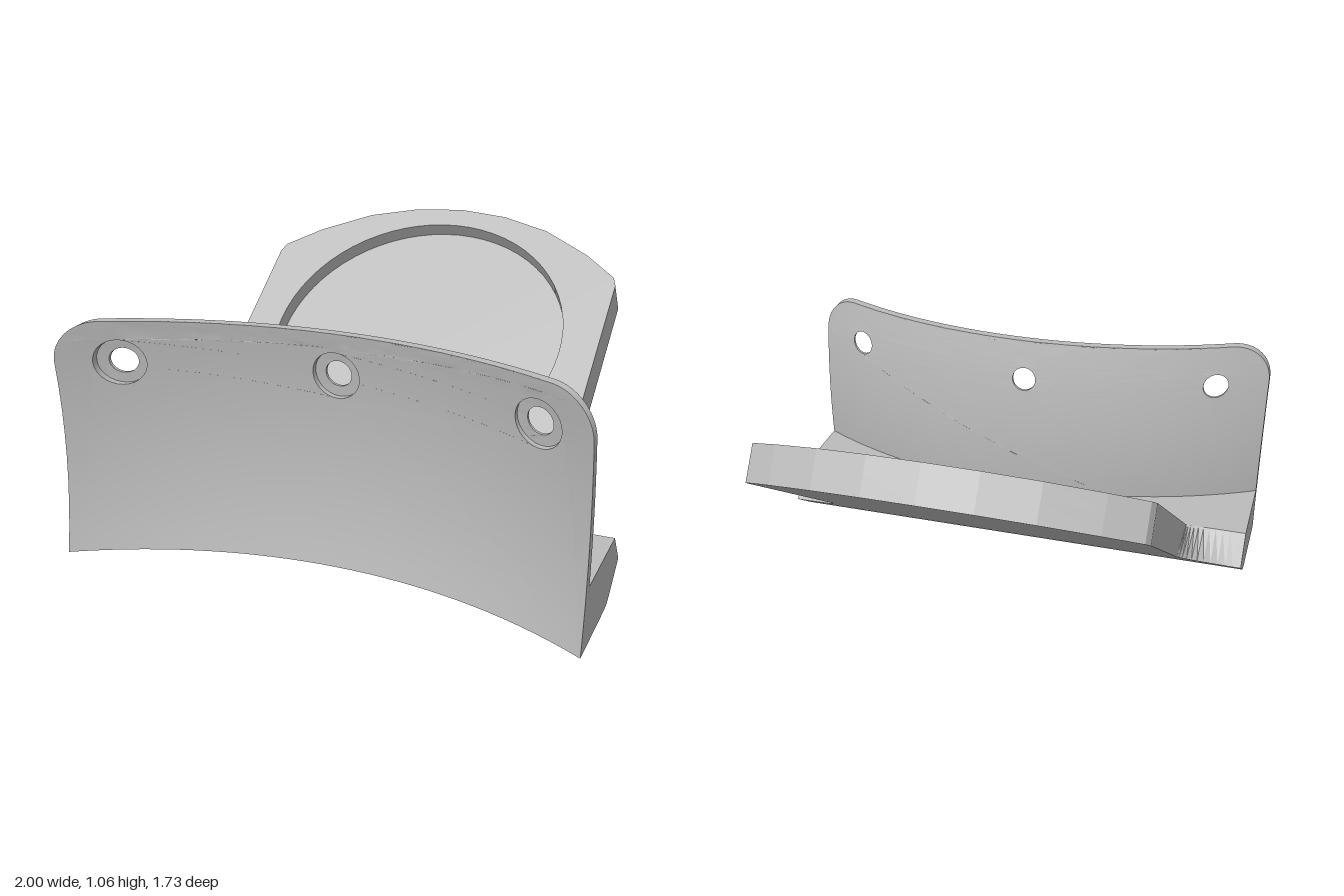
import * as THREE from 'three';
import { toCreasedNormals } from 'three/addons/utils/BufferGeometryUtils.js';

// Saddle-shaped front surface: hollow across x, slightly hollow along y
const R = 1.985;
const frontZ = (x, y) => 0.545 + R - Math.sqrt(R * R - x * x) + 0.22 * (y - 0.45) ** 2;
const slopeScale = (x) => R / Math.sqrt(R * R - x * x);

function hole(shape, x, y, r) {
  const p = new THREE.Path();
  p.absarc(x, y, r, 0, Math.PI * 2, true);
  shape.holes.push(p);
}

// Bisect long edges so that flat faces can be bent smoothly
function subdivide(geometry, maxLength) {
  const p = geometry.attributes.position, out = [], stack = [];
  for (let i = 0; i < p.count; i += 3) {
    stack.push([0, 1, 2].map((k) => new THREE.Vector3().fromBufferAttribute(p, i + k)));
  }
  while (stack.length) {
    const t = stack.pop();
    const len = t.map((v, k) => v.distanceTo(t[(k + 1) % 3]));
    const k = len.indexOf(Math.max(...len));
    if (len[k] <= maxLength) {
      t.forEach((v) => out.push(v.x, v.y, v.z));
      continue;
    }
    const a = t[k], b = t[(k + 1) % 3], c = t[(k + 2) % 3];
    const m = a.clone().add(b).multiplyScalar(0.5);
    stack.push([a, m, c], [m, b, c]);
  }
  const g = new THREE.BufferGeometry();
  g.setAttribute('position', new THREE.Float32BufferAttribute(out, 3));
  return g;
}

// One curved layer of the front plate, between two depths behind the front surface
function plateLayer(near, far, holeRadius) {
  const r = 0.16, h = 0.92;
  const s = new THREE.Shape();
  s.moveTo(-1, 0);
  s.lineTo(1, 0);
  s.lineTo(1, h - r);
  s.absarc(1 - r, h - r, r, 0, Math.PI / 2, false);
  s.lineTo(-1 + r, h);
  s.absarc(-1 + r, h - r, r, Math.PI / 2, Math.PI, false);
  for (const x of [-0.79, 0, 0.79]) hole(s, x, 0.755, holeRadius);
  const g = subdivide(new THREE.ExtrudeGeometry(s, { depth: far - near, bevelEnabled: false, curveSegments: 14 }), 0.1);
  const p = g.attributes.position;
  for (let i = 0; i < p.count; i++) {
    const x = p.getX(i), y = p.getY(i);
    p.setZ(i, frontZ(x, y) + (p.getZ(i) - far) * slopeScale(x));
  }
  return toCreasedNormals(g, 0.6);
}

// Foot joining plate and arm: a side profile swept across x, its front bent to the plate
function footGeometry() {
  const s = new THREE.Shape();
  s.moveTo(0.53, 0);
  for (const y of [0, 0.08, 0.16, 0.23]) s.lineTo(1, y);
  s.lineTo(0.415, 0.23);
  s.lineTo(0.331, 0.109);
  s.lineTo(0.455, 0.023);
  s.quadraticCurveTo(0.489, 0, 0.53, 0);
  const g = new THREE.ExtrudeGeometry(s, { depth: 2, steps: 32, bevelEnabled: false, curveSegments: 6 });
  g.translate(0, 0, -1);
  g.rotateY(-Math.PI / 2);
  const p = g.attributes.position;
  for (let i = 0; i < p.count; i++) {
    if (p.getZ(i) > 0.99) p.setZ(i, frontZ(p.getX(i), p.getY(i)) - 0.02);
  }
  return toCreasedNormals(g, 0.4);
}

// Arm slab, in the arm's own plane: x across, y along, z out of the upper face
const THICK = 0.147, DEPTH = 0.062;
function armGeometry(bottom, top, recessed) {
  const tip = [[0.75, 1.13], [0.735, 1.17], [0.6, 1.274], [0.4, 1.383], [0.2, 1.441], [0, 1.46]];
  const mirrored = tip.slice(0, -1).reverse().map(([x, y]) => [-x, y]);
  const pts = [[-0.75, 0], [0.75, 0], ...tip, ...mirrored];
  const s = new THREE.Shape(pts.map(([x, y]) => new THREE.Vector2(x, y)));
  if (recessed) hole(s, 0, 0.763, 0.605);
  const g = new THREE.ExtrudeGeometry(s, { depth: top - bottom, bevelEnabled: false, curveSegments: 32 });
  g.translate(0, 0, bottom);
  return toCreasedNormals(g, 0.15);
}

// Fanned fillet between the arm's side and the foot
function filletGeometry(side) {
  const n = 12, r = 0.25, out = [];
  const tri = (a, b, c) => {
    for (const v of side > 0 ? [a, b, c] : [a, c, b]) out.push(side * v[0], v[1], v[2]);
  };
  const at = (i) => {
    const a = (i / n) * Math.PI / 2, x = 1 - r * Math.sin(a);
    return [[x, 0, 0], [x, r - r * Math.cos(a), -THICK]];
  };
  for (let i = 0; i < n; i++) {
    const [t0, b0] = at(i), [t1, b1] = at(i + 1);
    tri(t0, b0, t1);
    tri(b0, b1, t1);
    tri([1 - r, 0, -THICK], b1, b0);
  }
  const g = new THREE.BufferGeometry();
  g.setAttribute('position', new THREE.Float32BufferAttribute(out, 3));
  g.computeVertexNormals();
  return g;
}

export function createModel() {
  const model = new THREE.Group();
  model.name = 'bracket';
  const grey = new THREE.MeshStandardMaterial({ color: 0xbcbcbc });
  grey.name = 'grey';
  const add = (parent, name, geometry) => {
    const m = new THREE.Mesh(geometry, grey);
    m.name = name;
    parent.add(m);
  };

  // Front plate: wide counterbores in front, narrow screw holes behind
  const plate = new THREE.Group();
  plate.name = 'frontPlate';
  add(plate, 'counterboreLayer', plateLayer(0, 0.024, 0.09));
  add(plate, 'screwHoleLayer', plateLayer(0.024, 0.036, 0.05));
  model.add(plate);

  add(model, 'foot', footGeometry());

  // Sloping arm with a round shallow recess
  const arm = new THREE.Group();
  arm.name = 'arm';
  arm.position.set(0, 0.23, 0.415);
  arm.rotation.x = -0.966;
  add(arm, 'armFloor', armGeometry(-THICK, -DEPTH, false));
  add(arm, 'armRim', armGeometry(-DEPTH, 0, true));
  add(arm, 'leftFillet', filletGeometry(1));
  add(arm, 'rightFillet', filletGeometry(-1));
  model.add(arm);

  return model;
}
